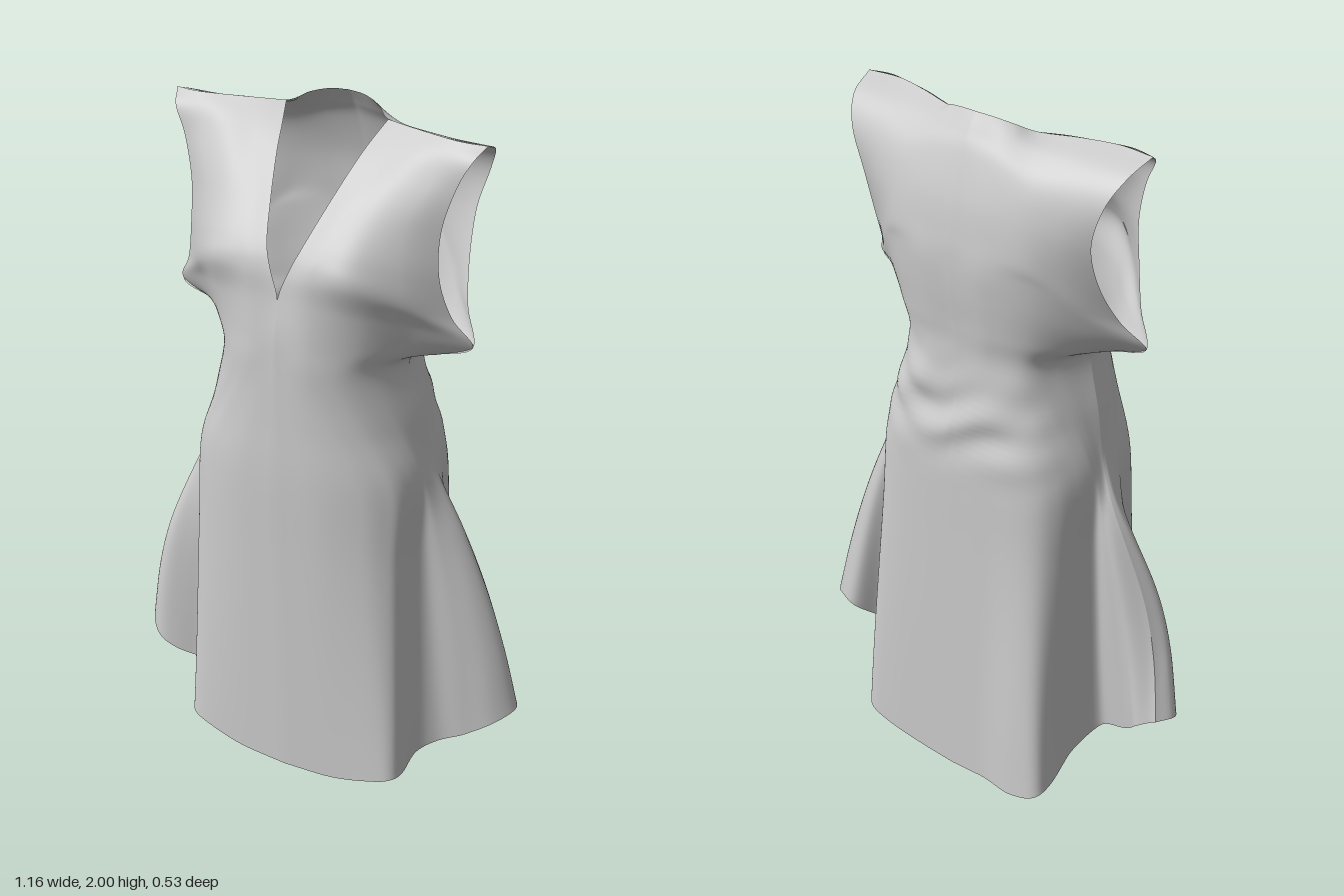
import * as THREE from 'three';
import { mergeVertices } from 'three/addons/utils/BufferGeometryUtils.js';

const cloth = new THREE.MeshStandardMaterial({ color: 0xcccccc, side: THREE.DoubleSide });
const P = ([x, y, z]) => new THREE.Vector3(x, y, z);
const spline = (pts) => new THREE.CatmullRomCurve3(pts, false, 'catmullrom', 0.5);
const smooth = THREE.MathUtils.smoothstep;

// Creases across the lower back, a forward swing of the right side fold, a slight sideways hang
function drape(p) {
  const band = Math.exp(-(((p.y - 1.2) / 0.12) ** 2)) * smooth(-p.z, 0.08, 0.2);
  const sag = p.y * 48 - 60 * (p.x - 0.04) ** 2 + 1.5 * Math.sin(p.x * 17);
  p.z += 0.006 * band * (Math.sin(sag) + Math.sin(p.y * 31 + p.x * 23));
  if (p.y < 1.05) {
    const low = smooth(1.05 - p.y, 0, 0.9);
    p.z -= 0.025 * low * smooth(-p.x, 0.1, 0.25) * smooth(-p.z, 0.12, 0.22);
    p.z += 0.09 * smooth(-p.x, 0.36, 0.54);
    p.x += 0.015 * low * (1 - smooth(Math.abs(p.x), 0.36, 0.5));
  }
  return p;
}

// Smooth cloth through rows of points for the left half, mirrored to the right half
function clothPanel(name, rows, nu, nv) {
  const across = rows.map(spline);
  const pos = [], idx = [];
  for (const side of [1, -1]) {
    const base = pos.length / 3;
    for (let i = 0; i <= nu; i++) {
      const down = spline(across.map((c) => c.getPoint(i / nu)));
      for (let j = 0; j <= nv; j++) {
        const p = down.getPoint(j / nv);
        p.x *= side;
        drape(p);
        pos.push(p.x, p.y, p.z);
        if (i < nu && j < nv) {
          const a = base + i * (nv + 1) + j, b = a + nv + 1;
          if (side > 0) idx.push(a, b, a + 1, b, b + 1, a + 1);
          else idx.push(a, a + 1, b, b, a + 1, b + 1);
        }
      }
    }
  }
  let g = new THREE.BufferGeometry();
  g.setAttribute('position', new THREE.Float32BufferAttribute(pos, 3));
  g.setIndex(idx);
  g = mergeVertices(g, 1e-4);
  g.computeVertexNormals();
  const mesh = new THREE.Mesh(g, cloth);
  mesh.name = name;
  return mesh;
}

// Front bodice rows, waist to shoulder, each from the neckline out to the armhole
const front = [
  [[0, 1.36, 0.255], [0.1, 1.36, 0.245], [0.18, 1.36, 0.2], [0.235, 1.36, 0.12], [0.265, 1.36, 0.02]],
  [[0, 1.46, 0.25], [0.1, 1.45, 0.24], [0.2, 1.44, 0.185], [0.285, 1.415, 0.09], [0.345, 1.395, 0.015]],
  [[0, 1.555, 0.235], [0.1, 1.55, 0.235], [0.21, 1.53, 0.19], [0.32, 1.49, 0.09], [0.44, 1.435, 0.01]],
  [[0.026, 1.63, 0.225], [0.1, 1.63, 0.235], [0.2, 1.62, 0.22], [0.3, 1.57, 0.14], [0.395, 1.52, 0.045]],
  [[0.05, 1.69, 0.2], [0.12, 1.69, 0.21], [0.2, 1.68, 0.2], [0.29, 1.65, 0.14], [0.368, 1.63, 0.068]],
  [[0.08, 1.78, 0.13], [0.14, 1.78, 0.14], [0.21, 1.77, 0.14], [0.29, 1.76, 0.11], [0.366, 1.75, 0.062]],
  [[0.11, 1.87, 0.05], [0.18, 1.87, 0.06], [0.25, 1.87, 0.07], [0.33, 1.865, 0.06], [0.394, 1.86, 0.045]],
  [[0.128, 1.92, -0.005], [0.2, 1.925, 0.01], [0.28, 1.93, 0.025], [0.35, 1.93, 0.03], [0.428, 1.93, 0.032]],
  [[0.148, 1.965, -0.06], [0.22, 1.967, -0.035], [0.3, 1.967, -0.015], [0.38, 1.967, 0], [0.449, 1.965, -0.01]],
].map((r) => r.map(P));

// Back bodice rows, waist to neck and shoulder, each from the centre out to the armhole
const back = [
  [[0, 1.36, -0.21], [0.1, 1.36, -0.205], [0.19, 1.36, -0.17], [0.235, 1.36, -0.09], [0.265, 1.36, 0.02]],
  [[0, 1.45, -0.215], [0.11, 1.45, -0.21], [0.21, 1.44, -0.17], [0.29, 1.415, -0.08], [0.345, 1.395, 0.015]],
  [[0, 1.55, -0.225], [0.11, 1.55, -0.22], [0.22, 1.53, -0.18], [0.33, 1.49, -0.09], [0.44, 1.435, 0.01]],
  [[0, 1.63, -0.228], [0.11, 1.63, -0.225], [0.22, 1.62, -0.19], [0.31, 1.57, -0.13], [0.395, 1.52, -0.045]],
  [[0, 1.7, -0.225], [0.11, 1.7, -0.22], [0.21, 1.68, -0.2], [0.29, 1.65, -0.155], [0.368, 1.63, -0.1]],
  [[0, 1.8, -0.21], [0.1, 1.8, -0.205], [0.2, 1.79, -0.19], [0.29, 1.77, -0.165], [0.366, 1.75, -0.135]],
  [[0, 1.91, -0.175], [0.1, 1.9, -0.17], [0.2, 1.88, -0.16], [0.3, 1.87, -0.145], [0.4, 1.86, -0.135]],
  [[0, 1.96, -0.148], [0.09, 1.95, -0.137], [0.18, 1.937, -0.11], [0.3, 1.932, -0.095], [0.432, 1.93, -0.09]],
  [[0, 2, -0.12], [0.05, 1.997, -0.114], [0.1, 1.985, -0.095], [0.148, 1.965, -0.06],
    [0.25, 1.967, -0.028], [0.35, 1.967, -0.005], [0.449, 1.965, -0.01]],
].map((r) => r.map(P));

// Skirt sections from front centre round the side to back centre
const waist = [...spline(front[0]).getPoints(10), ...spline(back[0]).getPoints(9).slice(0, 9).reverse()];
const hip = [
  [0, 0.265], [0.13, 0.253], [0.23, 0.215], [0.285, 0.17], [0.308, 0.14], [0.322, 0.1], [0.33, 0.07],
  [0.335, 0.05], [0.338, 0.02], [0.34, 0], [0.338, -0.01], [0.335, -0.02], [0.333, -0.04], [0.33, -0.06],
  [0.318, -0.1], [0.293, -0.155], [0.255, -0.197], [0.195, -0.222], [0.1, -0.233], [0, -0.235],
].map(([x, z]) => P([x, 1.05, z]));
// The hem swings out into a side fold and dips at the back
const hem = [
  [0, 0.12, 0.255], [0.15, 0.125, 0.248], [0.27, 0.15, 0.238], [0.325, 0.165, 0.222], [0.342, 0.17, 0.18],
  [0.342, 0.19, 0.1], [0.385, 0.21, 0.045], [0.465, 0.24, 0.018], [0.54, 0.285, -0.015], [0.58, 0.315, -0.07],
  [0.552, 0.315, -0.122], [0.495, 0.28, -0.12], [0.445, 0.22, -0.05], [0.365, 0.18, 0], [0.332, 0.13, -0.1],
  [0.338, 0.08, -0.19], [0.315, 0.055, -0.235], [0.24, 0.03, -0.241], [0.12, 0.01, -0.238], [0, 0, -0.236],
].map(P);
const blend = (a, b, t) => a.map((p, i) => p.clone().lerp(b[i], t));

// Between hip and hem the side folds belly outward
function skirtSection(t) {
  const section = blend(hip, hem, t);
  section.forEach((p, i) => { p.x += 0.03 * Math.sin(Math.PI * t) * smooth(hem[i].x, 0.36, 0.56); });
  return section;
}
const skirt = [1, 0.75, 0.5, 0.25, 0].map(skirtSection).concat([blend(waist, hip, 0.5)]);

export function createModel() {
  const dress = new THREE.Group();
  dress.name = 'dress';
  const frontRows = [...skirt.map((s) => s.slice(0, 11)), ...front];
  const backRows = [...skirt.map((s) => s.slice(10).reverse()), ...back];
  dress.add(
    clothPanel('frontPanel', frontRows, 60, 112),
    clothPanel('backPanel', backRows, 60, 112),
  );
  return dress;
}
